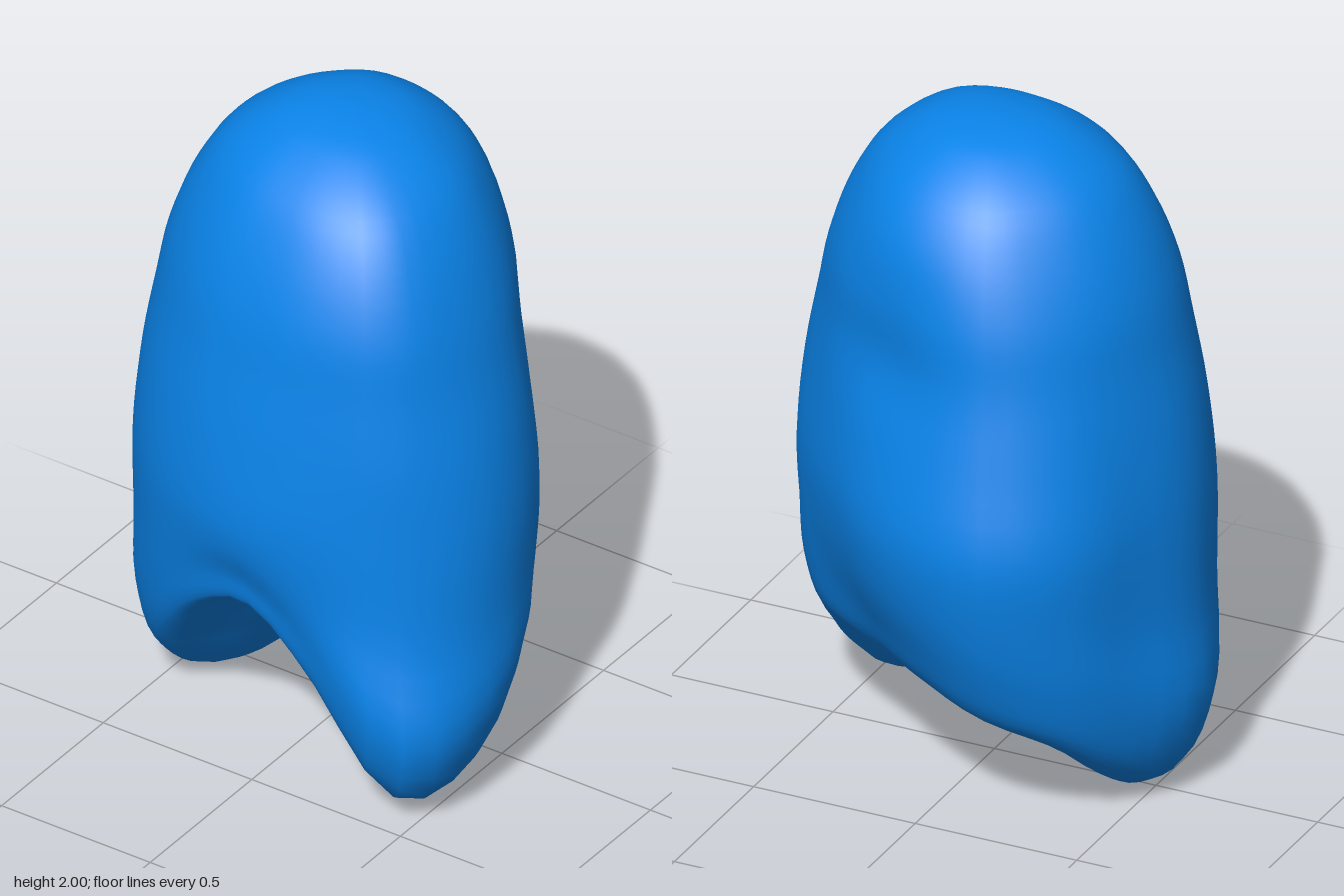
import * as THREE from 'three';
import { mergeVertices } from 'three/addons/utils/BufferGeometryUtils.js';

// Each ring lists 16 values around the body, every 22.5 degrees from +x towards +z.
const CROWN = [.49, .53, .57, .53, .49, .485, .49, .51, .51, .50, .485, .485, .465, .45, .44, .45]; // radius near the top
const WAIST = [.61, .67, .66, .61, .59, .585, .60, .62, .62, .60, .64, .64, .57, .51, .485, .52];  // widest radius
const FLANK = [.59, .69, .75, .57, .535, .55, .58, .62, .645, .60, .60, .56, .47, .41, .40, .46];  // radius above the rim
const RIM   = [.45, .50, .53, .48, .49, .49, .49, .46, .41, .44, .44, .35, .27, .23, .23, .32];    // radius of the lowest edge
const RIM_Y = [.30, .09, .05, .36, .58, .50, .28, .06, .005, .10, .24, .30, .34, .345, .34, .34];  // height of the lowest edge

// Smooth periodic interpolation around a ring
function ring(values, angle) {
  const n = values.length;
  const s = (((angle / (2 * Math.PI)) % 1) + 1) % 1 * n;
  const i = Math.floor(s), f = s - i;
  const [a, b, c, d] = [-1, 0, 1, 2].map((k) => values[(i + k + n) % n]);
  return b + 0.5 * f * (c - a + f * (2 * a - 5 * b + 4 * c - d + f * (3 * (b - c) + d - a)));
}

// Meridian from the top, down the side, round the rim and up under the arch.
// Each point is radius, height and sideways shift of the ring's centre.
function meridian(angle) {
  const [q, p, s, b, y] = [CROWN, WAIST, FLANK, RIM, RIM_Y].map((r) => ring(r, angle));
  const archY = 0.34, waistY = 0.9;
  const down = (t) => waistY + (y - waistY) * t;
  const under = (t) => y + (archY - y) * t;
  // the back widens later than the front, with a shallow hollow high up
  const back = Math.max(0, -Math.sin(angle));
  const turn = Math.atan2(Math.sin(angle + 1.3), Math.cos(angle + 1.3));
  const dent = 0.05 * Math.exp(-turn * turn / 0.25);
  const points = [
    [0, 2], [0.22 * q, 1.99], [0.44 * q, 1.957], [0.71 * q, 1.863], [0.885 * q, 1.73],
    [q + (p - q) * 0.1 - dent * 0.6, 1.55],
    [q + (p - q) * (0.45 - 0.12 * back) - dent, 1.36],
    [q + (p - q) * (0.8 - 0.15 * back) - dent * 0.3, 1.14],
    [p, waistY],
    [p + (s - p) * 0.3, down(0.36)],
    [s, down(0.68)],
    [s + (b - s) * 0.4, down(0.93)],
    [b, y],
    [b * 0.7, under(0.22), 0.01],
    [b * 0.4, under(0.72), 0.05],
    [0, archY, 0.09],
  ];
  return new THREE.CatmullRomCurve3(points.map(([r, h, shift = 0]) => new THREE.Vector3(r, h, shift)), false, 'centripetal');
}

export function createModel() {
  const group = new THREE.Group();
  group.name = 'roundedTwoLeggedForm';

  // Sphere grid reshaped along the meridians
  const around = 48, down = 60;
  const geometry = new THREE.SphereGeometry(1, around, down);
  const position = geometry.attributes.position;
  for (let i = 0; i <= around; i++) {
    const angle = Math.PI - ((i % around) / around) * 2 * Math.PI;
    const curve = meridian(angle);
    for (let j = 0; j <= down; j++) {
      const { x: r, y, z: shift } = curve.getPoint(j / down);
      position.setXYZ(j * (around + 1) + i, r * Math.cos(angle) + shift, y, r * Math.sin(angle));
    }
  }
  geometry.deleteAttribute('uv');
  geometry.deleteAttribute('normal');
  const smooth = mergeVertices(geometry, 1e-5);
  smooth.computeVertexNormals();

  const body = new THREE.Mesh(smooth, new THREE.MeshStandardMaterial({ color: 0x0a84ea }));
  body.name = 'body';
  group.add(body);
  return group;
}
